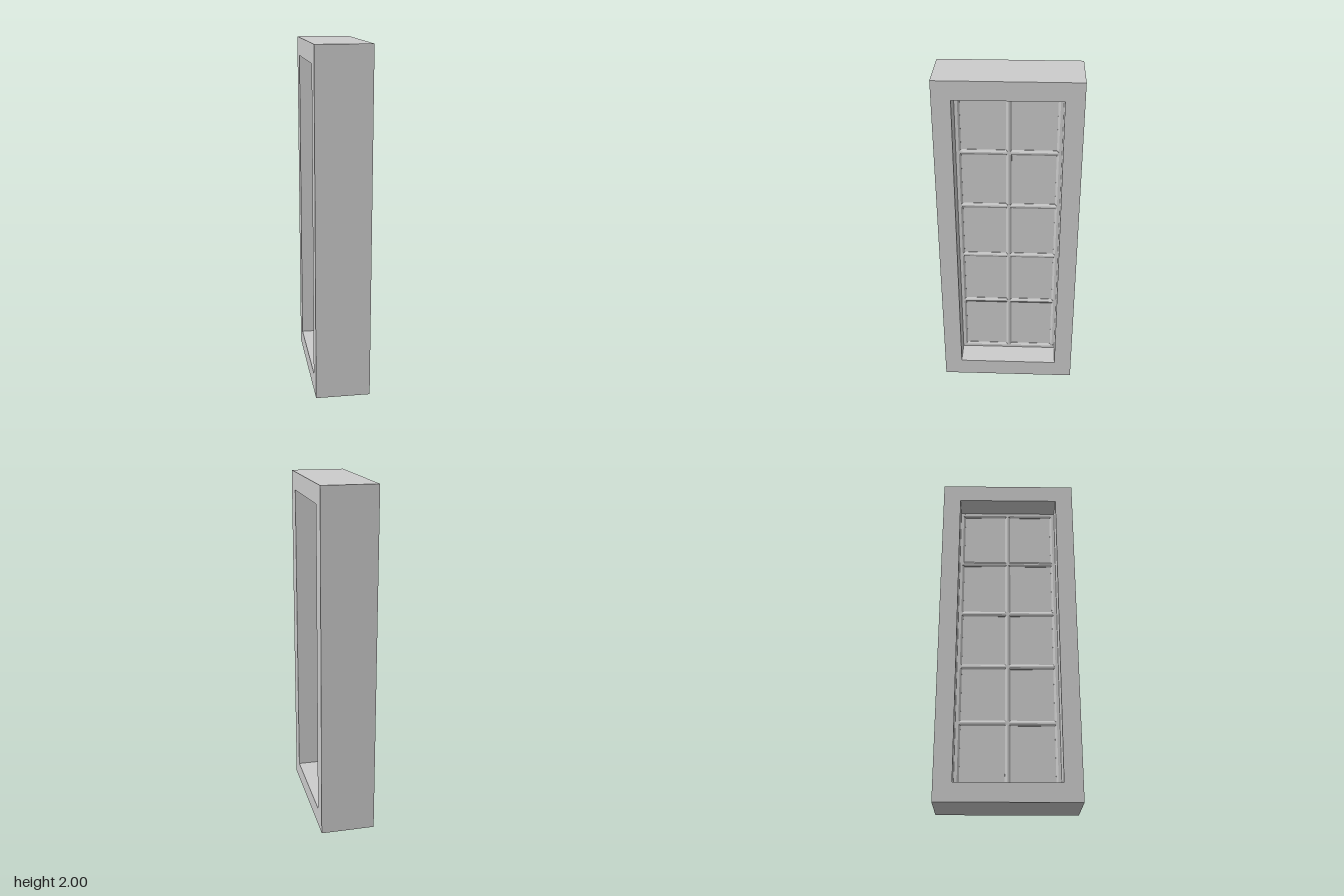
import * as THREE from 'three';

const material = new THREE.MeshStandardMaterial({ color: 0xcccccc, flatShading: true });
const MID = 1.0; // height of the window centre

// rectangle outline in the window plane (u across, v up from the centre)
function rect(Type, halfW, halfH) {
  const p = new Type();
  p.moveTo(-halfW, -halfH);
  p.lineTo(halfW, -halfH);
  p.lineTo(halfW, halfH);
  p.lineTo(-halfW, halfH);
  p.closePath();
  return p;
}

// rectangular ring whose thickness runs along x
function ring(name, outer, inner, depth) {
  const shape = rect(THREE.Shape, ...outer);
  shape.holes.push(rect(THREE.Path, ...inner));
  const geo = new THREE.ExtrudeGeometry(shape, { depth, bevelEnabled: false });
  geo.translate(0, 0, -depth / 2).rotateY(Math.PI / 2).translate(0, MID, 0);
  const mesh = new THREE.Mesh(geo, material);
  mesh.name = name;
  return mesh;
}

// glazing bar: six-sided bevelled profile, extruded along z
function bar(name, length, y, z, vertical) {
  const w = 0.016, ridge = 0.004, d = 0.014, base = 0.006;
  const profile = new THREE.Shape([
    [d, -ridge], [d, ridge], [base, w], [-base, w],
    [-d, ridge], [-d, -ridge], [-base, -w], [base, -w],
  ].map(([x, v]) => new THREE.Vector2(x, v)));
  const geo = new THREE.ExtrudeGeometry(profile, { depth: length, bevelEnabled: false });
  geo.translate(0, 0, -length / 2);
  if (vertical) geo.rotateX(Math.PI / 2);
  const mesh = new THREE.Mesh(geo, material);
  mesh.position.set(0, y, z);
  mesh.name = name;
  return mesh;
}

function box(name, sx, sy, sz, y, z) {
  const mesh = new THREE.Mesh(new THREE.BoxGeometry(sx, sy, sz), material);
  mesh.position.set(0, y, z);
  mesh.name = name;
  return mesh;
}

export function createModel() {
  const model = new THREE.Group();
  model.name = 'window';

  // deep casing and the thin sash lining its opening
  model.add(ring('casing', [0.4, 1], [0.296, 0.894], 0.314));
  model.add(ring('sash', [0.297, 0.895], [0.284, 0.882], 0.028));

  // glass
  model.add(box('glass', 0.008, 1.788, 0.592, MID, 0));

  // bevelled bars: border and cross bars
  const columns = [-0.283, 0, 0.283];
  const inner = [0, 1, 2, 3].map((i) => 1.003 + (i - 1.5) * 0.346);
  const rows = [0.119, ...inner, 1.881];
  for (const z of columns) model.add(bar('verticalBar', 1.78, MID, z, true));
  for (const y of rows) model.add(bar('horizontalBar', 0.59, y, 0, false));

  // small flat blocks where the bars cross
  for (const z of columns) {
    for (const y of rows) model.add(box('barJoint', 0.0285, 0.022, 0.022, y, z));
  }
  return model;
}
